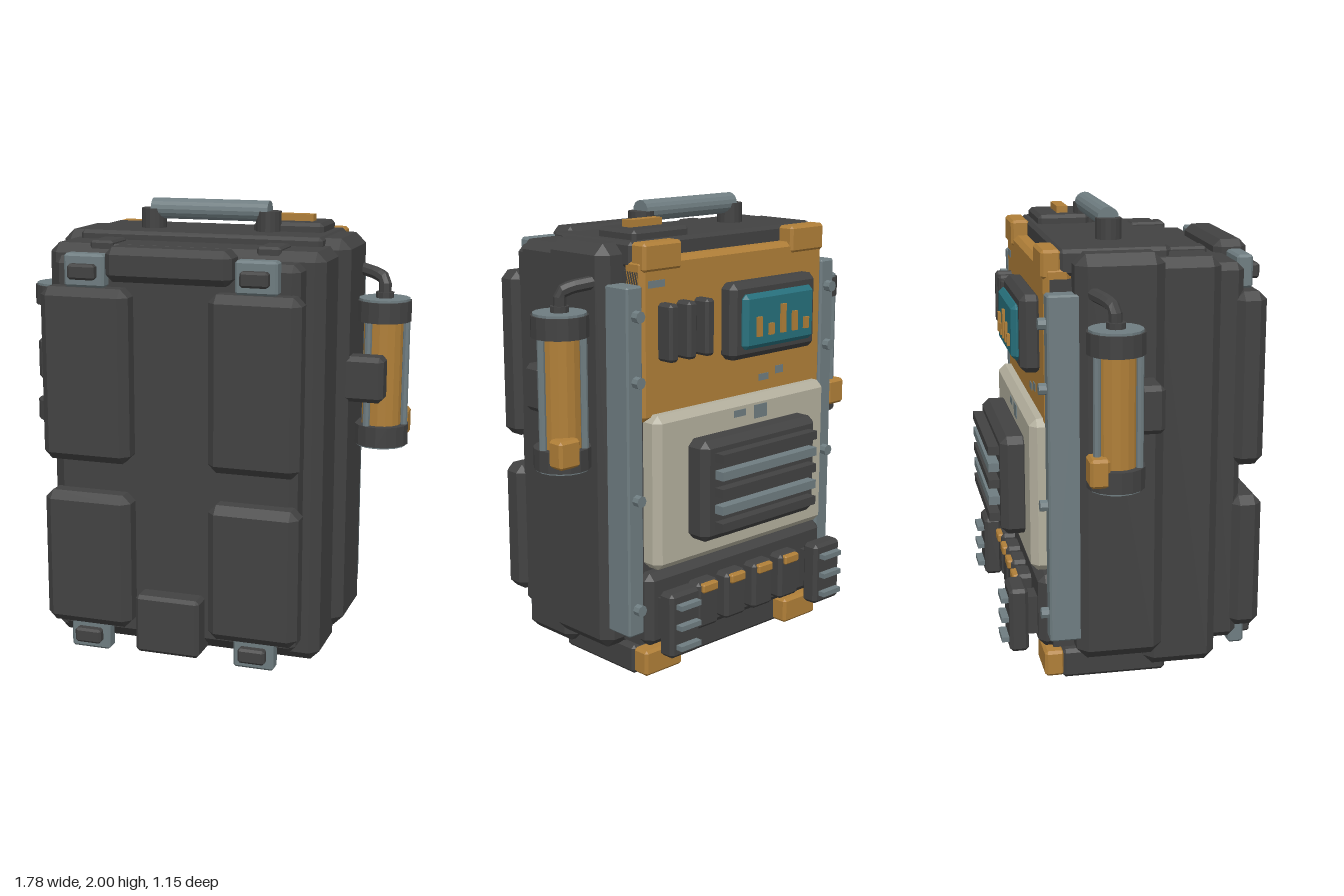
import * as THREE from 'three';
import { ConvexGeometry } from 'three/addons/geometries/ConvexGeometry.js';

const mat = (name, color) => {
  const m = new THREE.MeshStandardMaterial({ color, flatShading: true });
  m.name = name;
  return m;
};

// Box with every edge chamfered by c
function chamferBox(w, h, d, c) {
  const pts = [];
  for (const sx of [-1, 1]) for (const sy of [-1, 1]) for (const sz of [-1, 1]) {
    const [x, y, z] = [w / 2, h / 2, d / 2];
    pts.push(
      new THREE.Vector3(sx * x, sy * (y - c), sz * (z - c)),
      new THREE.Vector3(sx * (x - c), sy * y, sz * (z - c)),
      new THREE.Vector3(sx * (x - c), sy * (y - c), sz * z));
  }
  return new ConvexGeometry(pts);
}

export function createModel() {
  const model = new THREE.Group();
  model.name = 'equipmentBackpack';
  const dark = mat('charcoal', 0x424242);
  const orange = mat('ochre', 0xb07f38);
  const steel = mat('steel', 0x6f7d81);
  const cream = mat('cream', 0xb4b09e);
  const teal = mat('teal', 0x27707c);

  const add = (name, geo, material, x = 0, y = 0, z = 0) => {
    const m = new THREE.Mesh(geo, material);
    m.name = name;
    m.position.set(x, y, z);
    model.add(m);
    return m;
  };
  // Box given by its extents on each axis; c is the chamfer
  const box = (name, material, [x0, x1], [y0, y1], [z0, z1], c = 0) => {
    const [w, h, d] = [x1 - x0, y1 - y0, z1 - z0];
    const geo = c ? chamferBox(w, h, d, c) : new THREE.BoxGeometry(w, h, d);
    return add(name, geo, material, (x0 + x1) / 2, (y0 + y1) / 2, (z0 + z1) / 2);
  };
  // The same box on both sides
  const pair = (name, material, [x0, x1], y, z, c) => {
    box(name + 'Left', material, [x0, x1], y, z, c);
    box(name + 'Right', material, [-x1, -x0], y, z, c);
  };
  const cyl = (name, material, r, h, x, y, z, sides = 16) =>
    add(name, new THREE.CylinderGeometry(r, r, h, sides), material, x, y, z);

  // Main shell, stacked in layers from back to front
  box('mainBody', dark, [-0.66, 0.66], [0.12, 1.86], [-0.25, 0.12], 0.045);
  box('frontShell', dark, [-0.615, 0.615], [0.05, 1.83], [0.05, 0.365], 0.04);
  box('padBacking', dark, [-0.54, 0.54], [0.12, 1.79], [0.3, 0.48], 0.03);
  box('topPlate', dark, [-0.55, 0.55], [1.76, 1.868], [-0.3, 0.155], 0.015);
  box('basePlate', dark, [-0.55, 0.55], [0, 0.13], [-0.3, 0.155], 0.015);
  box('backCore', dark, [-0.55, 0.55], [0.15, 1.75], [-0.34, -0.2]);
  pair('topStrap', dark, [0.32, 0.425], [1.8, 1.845], [0.18, 0.345], 0.01);

  // Front cushions and straps
  pair('upperPad', dark, [0.175, 0.57], [0.92, 1.67], [0.44, 0.575], 0.035);
  pair('lowerPad', dark, [0.175, 0.57], [0.18, 0.78], [0.44, 0.575], 0.035);
  box('topRoll', dark, [-0.275, 0.275], [1.7, 1.845], [0.42, 0.565], 0.03);
  box('lumbarPad', dark, [-0.15, 0.14], [0.085, 0.345], [0.42, 0.57], 0.015);
  for (const y of [1.735, 0.125]) {
    pair('buckle', steel, [0.285, 0.465], [y - 0.065, y + 0.075], [0.465, 0.535], 0.01);
    pair('buckleCentre', dark, [0.315, 0.435], [y - 0.03, y + 0.035], [0.52, 0.573], 0.01);
  }

  // Carry handle and top hatch
  const grip = cyl('handleGrip', steel, 0.046, 0.54, -0.005, 1.954, -0.045);
  grip.rotation.z = Math.PI / 2;
  for (const x of [-0.275, 0.26]) cyl('handlePost', dark, 0.056, 0.11, x, 1.9, -0.045);
  box('topHatch', dark, [0.19, 0.505], [1.85, 1.908], [-0.27, -0.04], 0.015);
  box('hatchStrip', orange, [0.26, 0.44], [1.905, 1.938], [-0.175, -0.125]);

  // Back panels, rails, rivets and corner guards
  box('upperPanel', orange, [-0.55, 0.55], [1.13, 1.8], [-0.365, -0.25], 0.02);
  box('creamPanel', cream, [-0.525, 0.525], [0.49, 1.16], [-0.425, -0.3], 0.03);
  box('lowerPanel', dark, [-0.55, 0.55], [0.15, 0.475], [-0.4, -0.25], 0.03);
  pair('sideRail', steel, [0.545, 0.63], [0.21, 1.7], [-0.365, -0.22], 0.008);
  for (const x of [-0.585, 0.585]) for (const y of [1.58, 1.31, 0.81, 0.33])
    cyl('rivet', steel, 0.025, 0.035, x, y, -0.38, 8).rotation.x = Math.PI / 2;
  for (const y of [[1.75, 1.868], [0.01, 0.125]])
    pair('cornerGuard', orange, [0.33, 0.545], y, [-0.375, -0.29], 0.012);

  // Display with bar chart
  box('displayFrame', dark, [-0.425, 0.105], [1.335, 1.665], [-0.445, -0.35], 0.025);
  box('displayScreen', teal, [-0.38, 0.06], [1.38, 1.618], [-0.475, -0.43], 0.02);
  [0.05, 0.085, 0.125, 0.05, 0.085].forEach((h, i) => {
    const x = -0.315 + i * 0.074;
    box('chartBar', orange, [x - 0.014, x + 0.014], [1.435, 1.435 + h], [-0.487, -0.47]);
  });

  // Vent slots beside the display
  for (const x of [0.23, 0.332, 0.435])
    box('ventSlot', dark, [x - 0.026, x + 0.026], [1.38, 1.62], [-0.44, -0.35], 0.012);

  // Grille with alternating slats
  box('grilleBox', dark, [-0.355, 0.35], [0.6, 1.04], [-0.528, -0.4], 0.03);
  for (let i = 0; i < 5; i++) {
    const y = 0.67 + i * 0.075;
    box('grilleSlat', i % 2 ? steel : dark, [-0.297, 0.29], [y - 0.019, y + 0.019], [-0.575, -0.51]);
  }

  // Lower pouches with tabs, and ribbed end modules
  for (const x of [-0.26, -0.087, 0.087, 0.26]) {
    box('pouch', dark, [x - 0.065, x + 0.065], [0.19, 0.4], [-0.465, -0.38], 0.015);
    box('pouchTab', orange, [x - 0.045, x + 0.045], [0.355, 0.395], [-0.48, -0.43], 0.006);
  }
  pair('moduleMount', dark, [0.4, 0.5], [0.2, 0.37], [-0.46, -0.38]);
  pair('endModule', dark, [0.368, 0.538], [0.135, 0.42], [-0.525, -0.443], 0.015);
  for (const y of [0.185, 0.275, 0.365])
    pair('moduleRib', steel, [0.395, 0.51], [y - 0.011, y + 0.011], [-0.557, -0.515]);

  // Worn paint patches
  for (const [x, y, w, h, z] of [[0.47, 1.7, 0.09, 0.03, -0.366], [-0.17, 1.22, 0.06, 0.03, -0.366],
    [-0.27, 1.24, 0.05, 0.035, -0.366], [-0.09, 1.09, 0.08, 0.06, -0.426], [0.04, 1.1, 0.07, 0.03, -0.426]])
    box('wornPatch', steel, [x - w / 2, x + w / 2], [y - h / 2, y + h / 2], [z - 0.002, z + 0.002]);

  // Side tanks with caps, rods, valve, bracket and hose
  for (const s of [-1, 1]) {
    const x = s * 0.77, z = -0.113;
    cyl('tankCore', orange, 0.088, 0.5, x, 1.26, z);
    for (const [y, edge] of [[1.535, 0.049], [0.985, -0.046]]) {
      cyl('tankCap', dark, 0.12, 0.09, x, y, z);
      cyl('tankEndDisc', steel, 0.112, 0.012, x, y + edge, z);
    }
    for (let i = 0; i < 3; i++) {
      const a = i * Math.PI * 2 / 3;
      cyl('tankRod', steel, 0.016, 0.5, x + 0.1 * Math.cos(a), 1.26, z + 0.1 * Math.sin(a), 8);
    }
    const vx = s * 0.825;
    box('tankValve', orange, [vx - 0.055, vx + 0.055], [0.965, 1.085], [-0.238, -0.155], 0.012);
    const bx = [s * 0.81, s * 0.63].sort((a, b) => a - b);
    box('tankBracket', dark, bx, [1.155, 1.355], [-0.025, 0.085], 0.02);
    const path = new THREE.CurvePath();
    const p = [[0.77, 1.57, -0.113], [0.77, 1.67, -0.118], [0.73, 1.69, -0.14], [0.62, 1.71, -0.195]]
      .map(([a, b, c]) => new THREE.Vector3(s * a, b, c));
    for (let i = 0; i < 3; i++) path.add(new THREE.LineCurve3(p[i], p[i + 1]));
    add('tankHose', new THREE.TubeGeometry(path, 10, 0.028, 8), dark);
    cyl('hoseFitting', dark, 0.04, 0.03, x, 1.6, z, 10);
  }
  return model;
}
